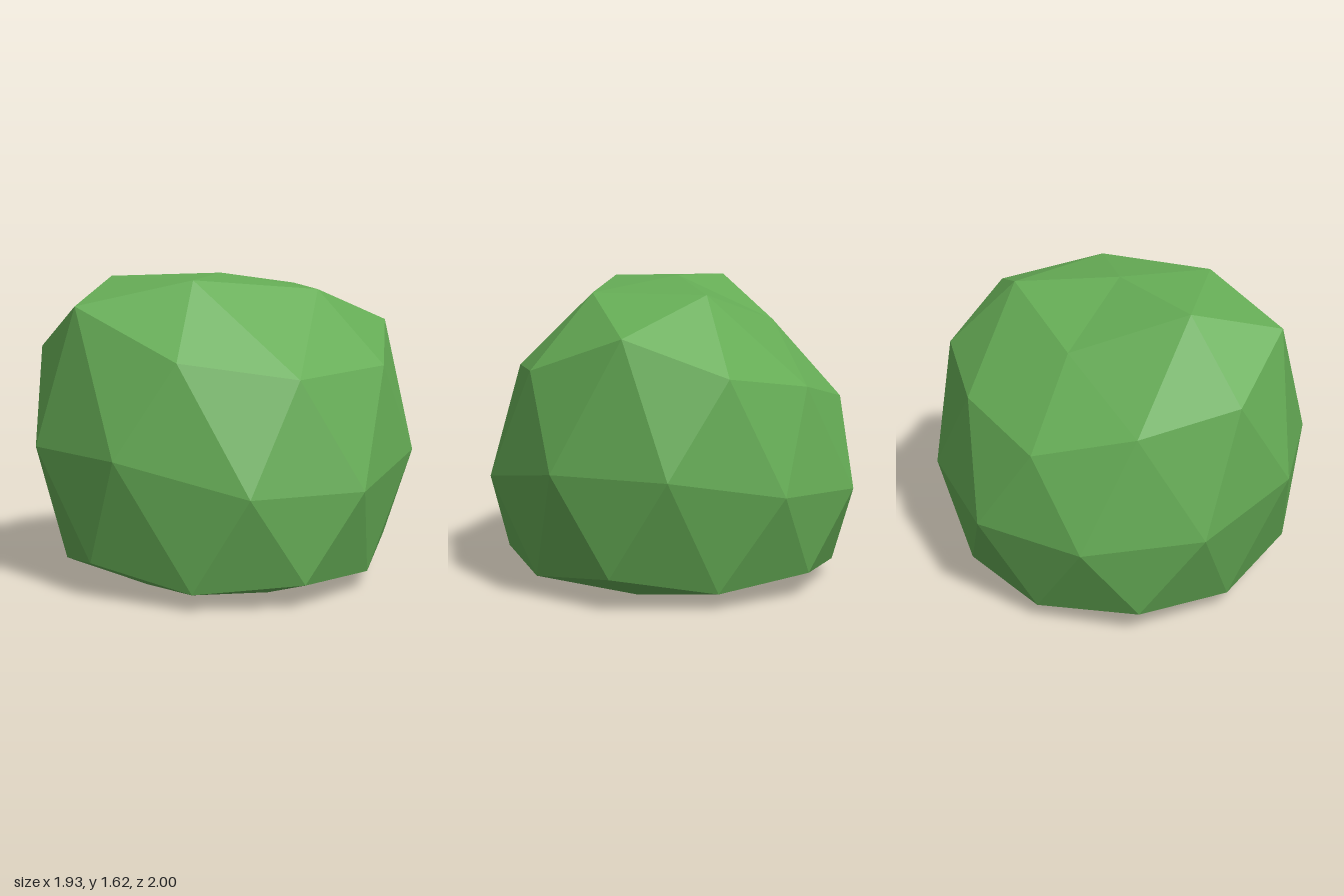
import * as THREE from 'three';

// Horizontal rings of a lumpy low-poly bush, each running counter-clockwise seen from above
const crown = [-0.01, 1.625, 0];
const top = [[0.54, 1.55, -0.04], [0.17, 1.55, -0.54], [-0.42, 1.39, -0.3], [-0.51, 1.61, 0.3], [0.09, 1.61, 0.49]];
const upper = [
  [0.91, 1.17, -0.05], [0.7, 1.36, -0.6], [0.28, 1.17, -0.9], [-0.26, 1.09, -0.81], [-0.72, 0.98, -0.51],
  [-0.87, 1.12, 0], [-0.82, 1.24, 0.51], [-0.43, 1.48, 0.78], [0.19, 1.23, 0.84], [0.69, 1.14, 0.5],
];
const middle = [
  [0.965, 0.69, -0.35], [0.6, 0.69, -0.85], [0.01, 0.58, -1], [-0.59, 0.53, -0.79], [-0.95, 0.53, -0.29],
  [-0.97, 0.59, 0.33], [-0.67, 0.75, 0.8], [-0.08, 0.75, 1], [0.58, 0.59, 0.82], [0.965, 0.58, 0.32],
];
const lower = [
  [0.86, 0.09, 0.01], [0.74, 0.17, -0.53], [0.27, 0.09, -0.8], [-0.27, 0.13, -0.83], [-0.69, 0.08, -0.5],
  [-0.9, 0.13, 0.01], [-0.69, 0.09, 0.5], [-0.3, 0.19, 0.87], [0.27, 0.09, 0.84], [0.75, 0.13, 0.55],
];
const base = [[0.44, 0, -0.31], [-0.16, 0, -0.48], [-0.53, 0, 0], [-0.17, 0.01, 0.52], [0.44, 0, 0.33]];
const underside = [0, 0.045, 0];

function bushGeometry() {
  const positions = [];
  const tri = (...corners) => corners.forEach((p) => positions.push(...p));
  const at = (ring, i) => ring[(i + ring.length) % ring.length];

  // Crown and underside: five facets meet at each ring point
  for (let k = 0; k < 5; k++) {
    const t = top[k], tNext = at(top, k + 1);
    tri(crown, t, tNext);
    tri(t, at(upper, 2 * k - 1), at(upper, 2 * k));
    tri(t, at(upper, 2 * k), at(upper, 2 * k + 1));
    tri(t, at(upper, 2 * k + 1), tNext);

    const b = base[k], bNext = at(base, k + 1);
    tri(underside, bNext, b);
    tri(b, at(lower, 2 * k + 1), at(lower, 2 * k));
    tri(b, at(lower, 2 * k + 2), at(lower, 2 * k + 1));
    tri(b, bNext, at(lower, 2 * k + 2));
  }
  // Zigzag bands around the sides
  for (let j = 0; j < 10; j++) {
    const m = middle[j], mNext = at(middle, j + 1);
    tri(upper[j], m, at(upper, j + 1));
    tri(at(upper, j + 1), m, mNext);
    tri(at(middle, j - 1), lower[j], m);
    tri(m, lower[j], at(lower, j + 1));
  }

  const geometry = new THREE.BufferGeometry();
  geometry.setAttribute('position', new THREE.Float32BufferAttribute(positions, 3));
  geometry.computeVertexNormals(); // unshared corners give flat facets
  return geometry;
}

export function createModel() {
  const leafGreen = new THREE.MeshStandardMaterial({ color: 0x66ad56 });
  leafGreen.name = 'leafGreen';

  const foliage = new THREE.Mesh(bushGeometry(), leafGreen);
  foliage.name = 'foliage';

  const model = new THREE.Group();
  model.name = 'bush';
  model.add(foliage);
  return model;
}
